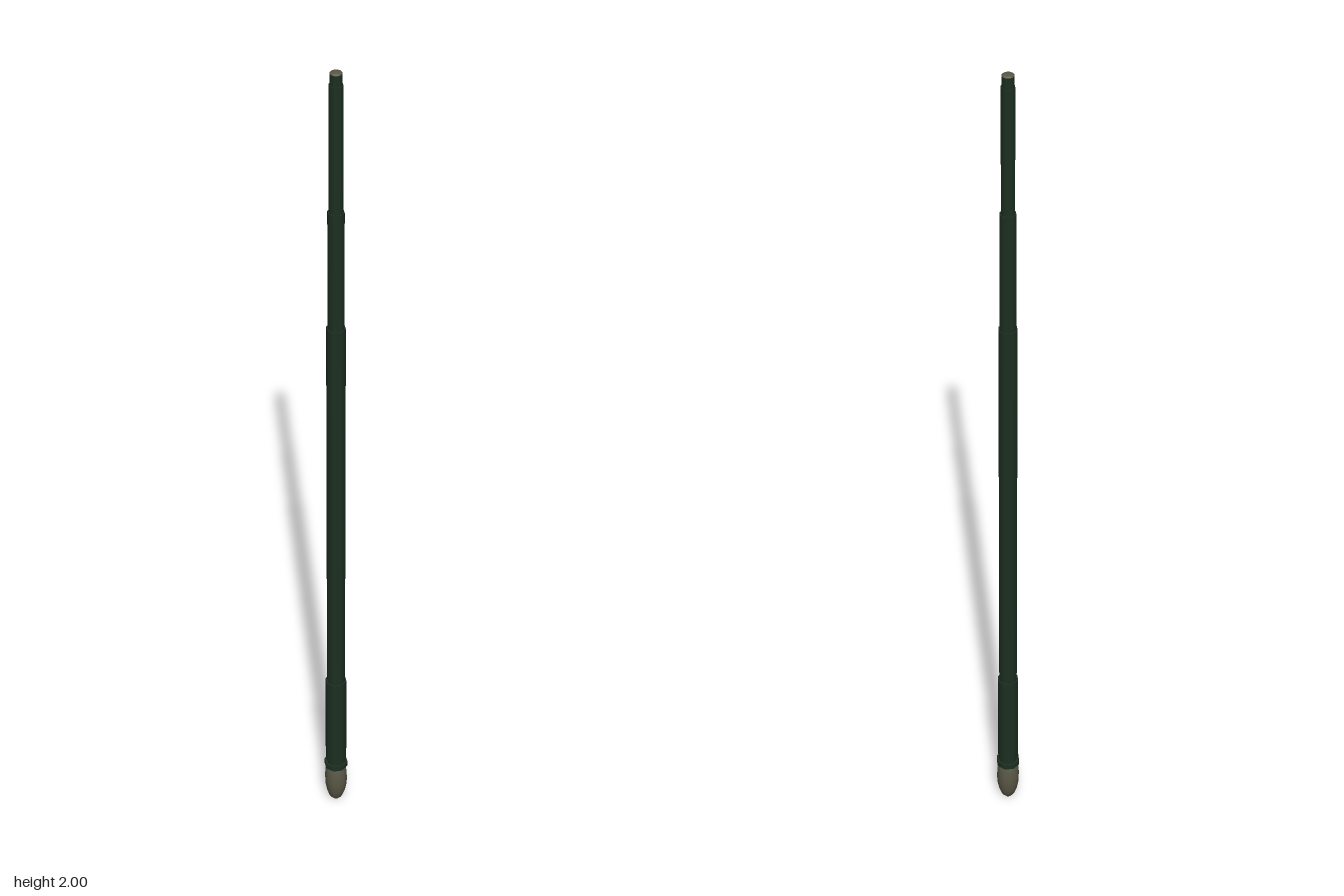
import * as THREE from 'three';

export function createModel() {
  const group = new THREE.Group();
  const green = new THREE.MeshStandardMaterial({ color: 0x1d3022 });
  green.name = 'dark green';
  const grey = new THREE.MeshStandardMaterial({ color: 0x5a5846 });
  grey.name = 'olive grey';

  const add = (name, geometry, material, y) => {
    const mesh = new THREE.Mesh(geometry, material);
    mesh.name = name;
    mesh.position.y = y;
    group.add(mesh);
  };

  // Eight-sided section between two heights
  const section = (name, y0, y1, r0, r1) =>
    add(name, new THREE.CylinderGeometry(r1, r0, y1 - y0, 8), green, (y0 + y1) / 2);

  // Telescoping shaft, thinner towards the top
  section('collar', 0.11, 0.123, 0.028, 0.028);
  section('neck', 0.123, 0.133, 0.022, 0.022);
  section('gripSection', 0.133, 0.38, 0.025, 0.025);
  section('lowerShaft', 0.38, 1.38, 0.0215, 0.0215);
  section('middleShaft', 1.38, 1.67, 0.0185, 0.0185);
  section('upperShaft', 1.67, 1.97, 0.0155, 0.0155);
  section('topNeck', 1.97, 1.996, 0.0135, 0.0135);

  // Shallow domed cap on the top end
  const cap = new THREE.SphereGeometry(0.0135, 12, 4, 0, Math.PI * 2, 0, Math.PI / 2);
  cap.scale(1, 0.3, 1);
  add('topCap', cap, grey, 1.996);

  // Rounded bulb at the foot, widest above its middle
  const profile = [
    [0, 0], [0.008, 0.002], [0.016, 0.012], [0.022, 0.03], [0.026, 0.052],
    [0.027, 0.072], [0.0255, 0.092], [0.023, 0.106], [0.02, 0.112],
  ].map(([r, y]) => new THREE.Vector2(r, y));
  add('footBulb', new THREE.LatheGeometry(profile, 12), grey, 0);

  return group;
}
